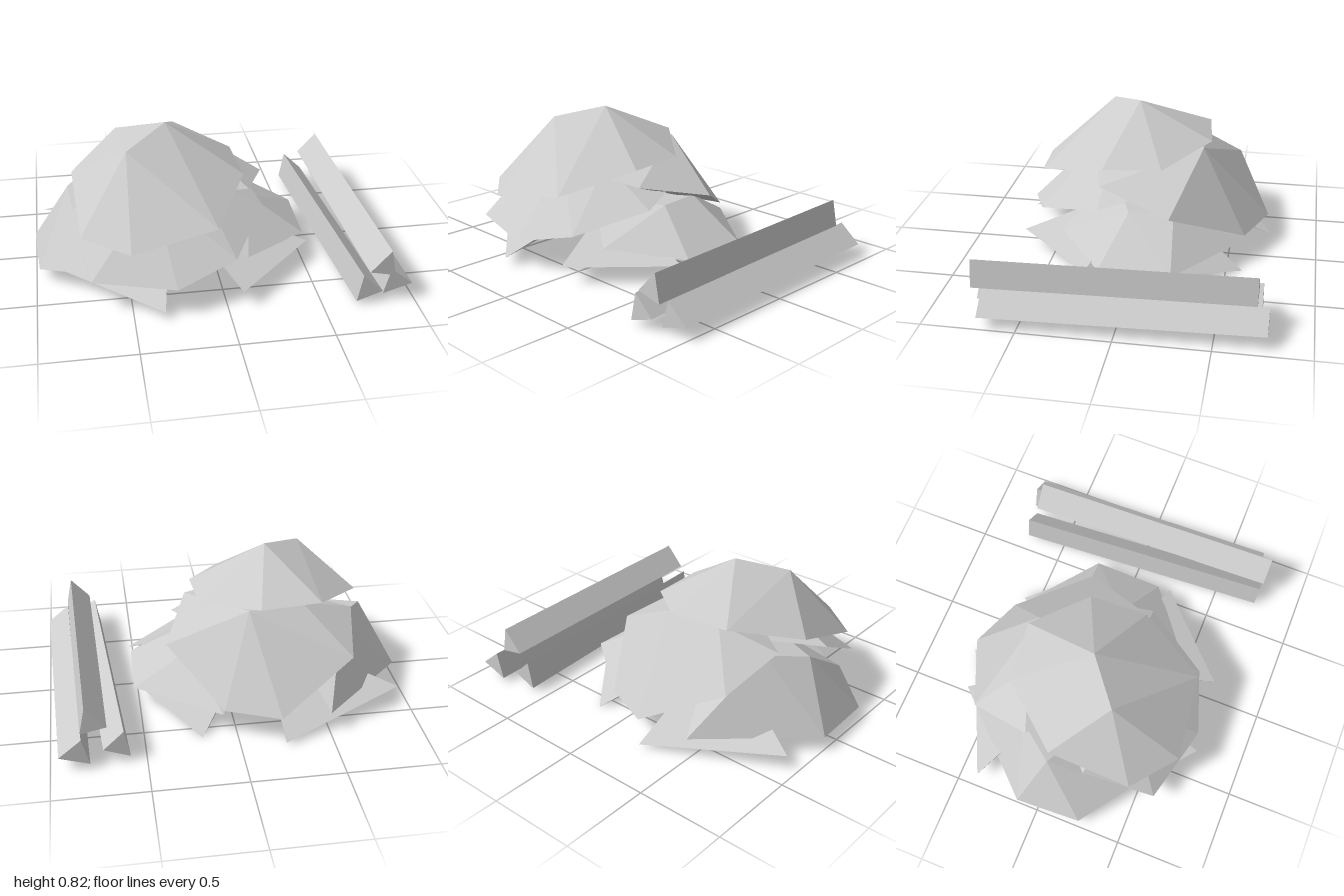
import * as THREE from 'three';
import { ConvexGeometry } from 'three/addons/geometries/ConvexGeometry.js';

const V = (p) => new THREE.Vector3(...p);

export function createModel() {
  const root = new THREE.Group();
  root.name = 'moundAndLogs';
  const grey = new THREE.MeshStandardMaterial({ color: 0xcccccc });
  grey.name = 'plain grey';

  // Faceted solid stretched over a few corner points
  const solid = (name, points, parent) => {
    const mesh = new THREE.Mesh(new ConvexGeometry(points), grey);
    mesh.name = name;
    parent.add(mesh);
  };

  // Overlapping tilted caps: peaks first, then the rim
  const mound = new THREE.Group();
  mound.name = 'mound';
  root.add(mound);
  const caps = {
    topCap: [
      [-0.25, 0.82, 0.06], [-0.48, 0.75, 0.25],
      [-0.5, 0.63, -0.33], [-0.16, 0.63, -0.37], [0.14, 0.56, -0.12], [0.16, 0.55, 0.21],
      [-0.04, 0.44, 0.6], [-0.5, 0.36, 0.66], [-0.75, 0.37, 0.46], [-0.77, 0.53, 0]],
    frontCap: [
      [-0.35, 0.54, 0.3], [-0.1, 0.54, 0.2],
      [-0.71, 0.18, 0.6], [-0.27, 0.16, 0.71], [0.06, 0.24, 0.59], [0.27, 0.35, 0.22],
      [0.2, 0.42, -0.02], [-0.3, 0.48, -0.2], [-0.78, 0.4, 0.2]],
    backCap: [
      [-0.1, 0.61, -0.33], [-0.4, 0.61, -0.27],
      [0.19, 0.46, 0.22], [0.34, 0.36, -0.19], [0.07, 0.16, -0.59], [-0.22, 0.16, -0.71],
      [-0.64, 0.38, -0.51], [-0.71, 0.5, -0.16], [-0.1, 0.49, 0.29]],
    leftSideCap: [
      [-0.8, 0.44, 0], [-0.65, 0.48, -0.2],
      [-0.5, 0.13, -0.65], [-1, 0.08, -0.12], [-0.98, 0.07, 0.25], [-0.72, 0.14, 0.45],
      [-0.4, 0.4, 0.2], [-0.35, 0.35, -0.3]],
    rightSideCap: [
      [0.22, 0.33, 0.05], [0.2, 0.33, -0.2],
      [0.08, 0.13, -0.58], [0.53, 0.12, -0.23], [0.52, 0.12, 0.17], [0.15, 0.16, 0.45],
      [-0.2, 0.32, 0.2], [-0.2, 0.32, -0.2]],
  };
  for (const [name, points] of Object.entries(caps)) solid(name, points.map(V), mound);

  // Ground leaves: outer edge on the floor, inner edge rising beneath the caps
  const centre = V([-0.22, 0.32, 0]);
  const leaves = [
    ['frontRightLeaf', [0.53, 0.11, 0.24], [0.08, 0.1, 0.69]],
    ['frontLeftLeaf', [-0.34, 0.05, 0.74], [-0.92, 0.1, 0.27]],
    ['backLeftLeaf', [-0.95, 0.09, -0.39], [-0.24, 0.02, -0.73]],
    ['backRightLeaf', [0.19, 0, -0.59], [0.48, 0.1, -0.22]],
  ];
  for (const [name, a, b] of leaves) {
    const inner = [a, b].map((p) => V(p).lerp(centre, 0.65));
    const under = inner.map((p) => p.clone().add(V([0, -0.03, 0])));
    solid(name, [V(a), V(b), ...inner, ...under], mound);
  }

  // Three triangular logs: front outline, front z, back z, sideways and upward drift
  const logs = [
    ['innerLog', [[0.68, 0.02], [0.71, 0.175], [0.82, 0.07]], 0.75, -0.73, -0.095, 0.008],
    ['outerLog', [[0.84, 0.02], [0.88, 0.17], [1, 0.07]], 0.7, -0.77, -0.045, 0.01],
    ['upperLog', [[0.74, 0.2], [0.85, 0.32], [0.88, 0.17]], 0.76, -0.71, -0.04, 0.005],
  ];
  const pile = new THREE.Group();
  pile.name = 'logPile';
  root.add(pile);
  for (const [name, outline, front, back, dx, dy] of logs) {
    solid(name, outline.flatMap(([x, y]) => [V([x, y, front]), V([x + dx, y + dy, back])]), pile);
  }
  return root;
}
